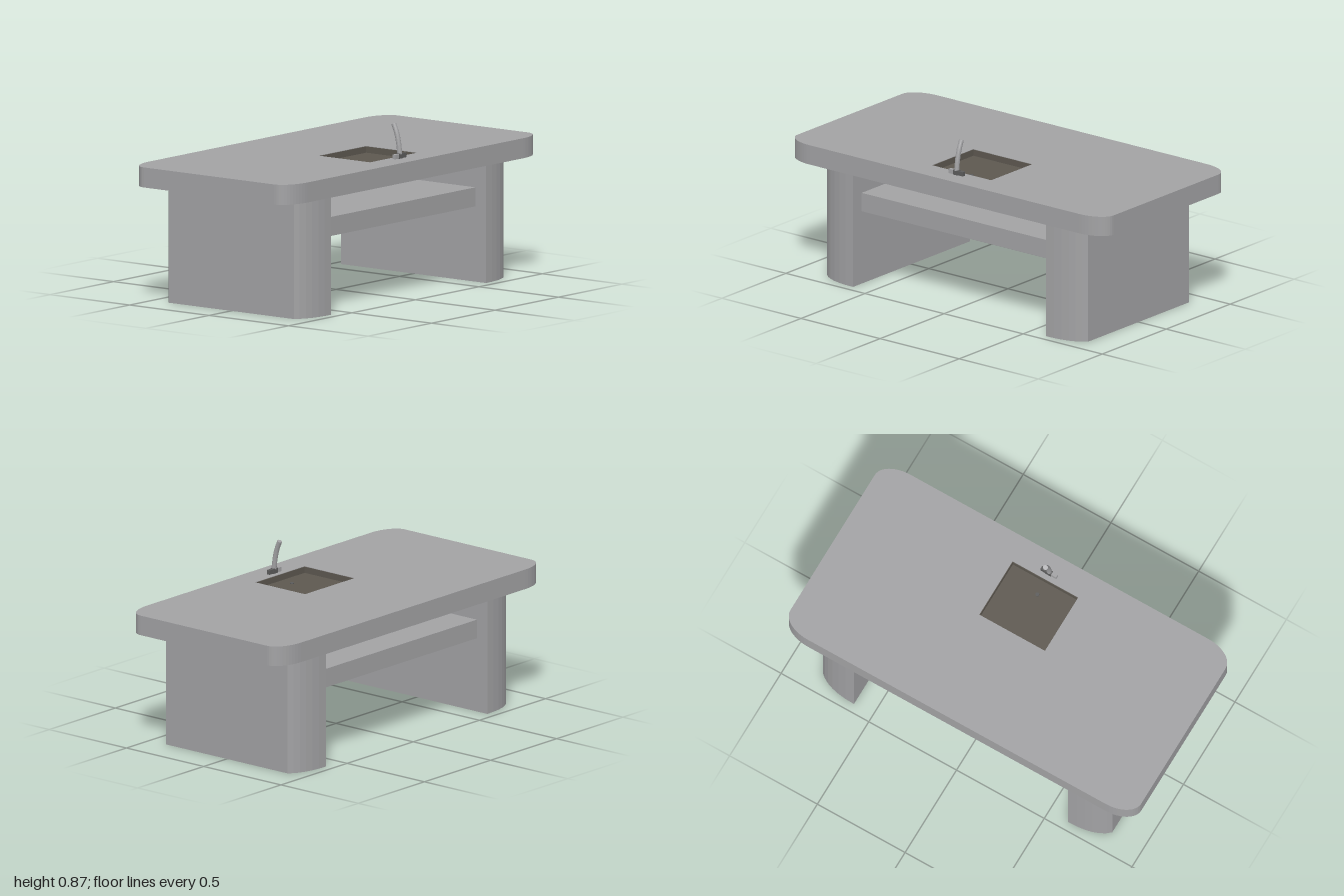
import * as THREE from 'three';

const stone = new THREE.MeshStandardMaterial({ color: 0xa2a2a4 });
stone.name = 'grey stone';
const basinBrown = new THREE.MeshStandardMaterial({ color: 0x5d5850 });
basinBrown.name = 'dark basin brown';
const darkMetal = new THREE.MeshStandardMaterial({ color: 0x5c5c5c });
darkMetal.name = 'dark metal';

function add(group, name, geometry, material, x = 0, y = 0, z = 0) {
  const mesh = new THREE.Mesh(geometry, material);
  mesh.name = name;
  mesh.position.set(x, y, z);
  group.add(mesh);
  return mesh;
}

// Extrudes a plan outline drawn in (x, -z) upward from y = 0
function extrudeUp(shape, height, curveSegments) {
  const g = new THREE.ExtrudeGeometry(shape, { depth: height, bevelEnabled: false, curveSegments });
  return g.rotateX(-Math.PI / 2);
}

export function createModel() {
  const model = new THREE.Group();
  model.name = 'table with sink';

  const TOP = 0.695, UNDER = 0.595;
  const sink = { x0: -0.187, x1: 0.187, z0: 0.04, z1: 0.363, floor: 0.662 };
  const sw = sink.x1 - sink.x0, sd = sink.z1 - sink.z0;
  const sx = (sink.x0 + sink.x1) / 2, sz = (sink.z0 + sink.z1) / 2;

  // Table top with elliptical corners and a sink opening
  const a = 0.15, b = 0.09;
  const slab = new THREE.Shape();
  slab.moveTo(1, -0.5 + b);
  slab.absellipse(1 - a, 0.5 - b, a, b, 0, Math.PI / 2);
  slab.absellipse(-1 + a, 0.5 - b, a, b, Math.PI / 2, Math.PI);
  slab.absellipse(-1 + a, -0.5 + b, a, b, Math.PI, Math.PI * 1.5);
  slab.absellipse(1 - a, -0.5 + b, a, b, Math.PI * 1.5, Math.PI * 2);
  const hole = new THREE.Path();
  hole.moveTo(sink.x0, -sink.z0);
  hole.lineTo(sink.x1, -sink.z0);
  hole.lineTo(sink.x1, -sink.z1);
  hole.lineTo(sink.x0, -sink.z1);
  hole.closePath();
  slab.holes.push(hole);
  add(model, 'tableTop', extrudeUp(slab, TOP - UNDER, 6), stone, 0, UNDER, 0);

  // Solid under the basin, then its floor, walls and drain
  const under = sink.floor - 0.004 - UNDER;
  add(model, 'basinUnderside', new THREE.BoxGeometry(sw, under, sd), stone, sx, UNDER + under / 2, sz);
  add(model, 'basinFloor', new THREE.BoxGeometry(sw, 0.004, sd), basinBrown, sx, sink.floor - 0.002, sz);
  const wallH = TOP - 0.002 - sink.floor, wallY = sink.floor + wallH / 2;
  for (const s of [-1, 1]) {
    add(model, 'basinSideWall', new THREE.BoxGeometry(0.003, wallH, sd), basinBrown, sx + s * (sw / 2 - 0.0015), wallY, sz);
    add(model, 'basinEndWall', new THREE.BoxGeometry(sw, wallH, 0.003), basinBrown, sx, wallY, sz + s * (sd / 2 - 0.0015));
  }
  add(model, 'drain', new THREE.CylinderGeometry(0.01, 0.01, 0.004, 12), darkMetal, 0, sink.floor + 0.002, 0.285);

  // Slab legs, deeper on the inside, with bowed front and back ends
  for (const s of [-1, 1]) {
    const inner = s * 0.61, outer = s * 0.825, ctrl = s * 0.765;
    const leg = new THREE.Shape();
    leg.moveTo(inner, -0.457);
    leg.quadraticCurveTo(ctrl, -0.457, outer, -0.393);
    leg.lineTo(outer, 0.393);
    leg.quadraticCurveTo(ctrl, 0.457, inner, 0.457);
    leg.closePath();
    add(model, s > 0 ? 'leftLeg' : 'rightLeg', extrudeUp(leg, UNDER, 6), stone);
  }

  // Shelf between the legs
  add(model, 'shelf', new THREE.BoxGeometry(1.22, 0.095, 0.78), stone, 0, 0.4225, 0);

  // Tap: cross bar, foot and curved spout
  const tap = new THREE.Group();
  tap.name = 'tap';
  model.add(tap);
  add(tap, 'rightHandle', new THREE.BoxGeometry(0.03, 0.022, 0.018), stone, -0.03, TOP + 0.012, 0.4);
  add(tap, 'leftHandle', new THREE.BoxGeometry(0.03, 0.022, 0.018), darkMetal, 0.03, TOP + 0.012, 0.4);
  add(tap, 'foot', new THREE.BoxGeometry(0.032, 0.025, 0.022), darkMetal, 0, TOP + 0.0125, 0.4);
  const path = new THREE.CatmullRomCurve3([
    new THREE.Vector3(0, 0.715, 0.401),
    new THREE.Vector3(0, 0.77, 0.394),
    new THREE.Vector3(0, 0.82, 0.382),
    new THREE.Vector3(0, 0.864, 0.364),
  ]);
  const section = new THREE.Shape();
  section.absarc(0, 0, 0.0125, 0, Math.PI * 2);
  add(tap, 'spout', new THREE.ExtrudeGeometry(section, { steps: 10, extrudePath: path, curveSegments: 8 }), stone);

  return model;
}
